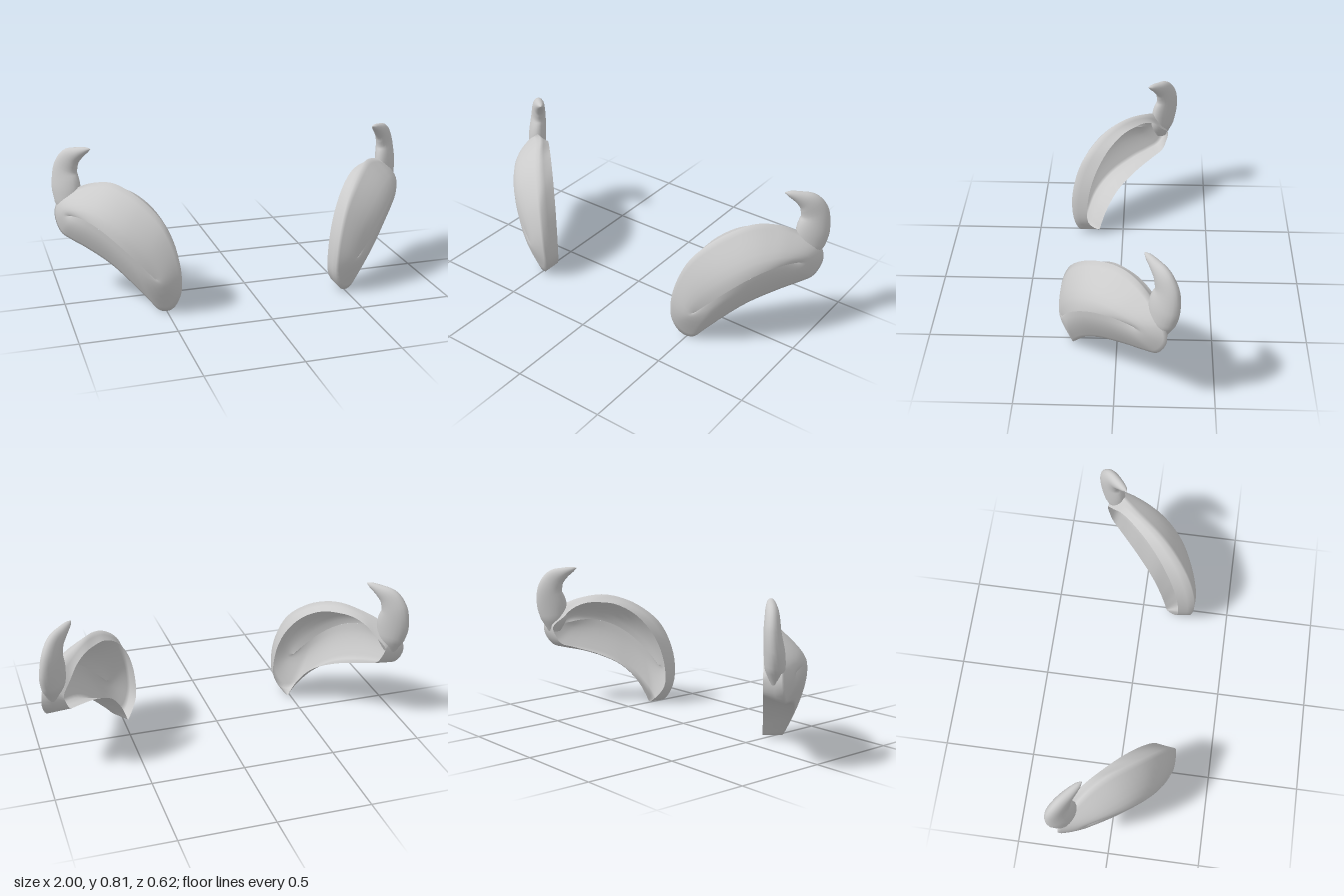
import * as THREE from 'three';

const V = (u, y, n) => new THREE.Vector3(u, y, n);

// Each plate is designed in a frame turned 45 degrees:
// u runs along the plate, y is up, n points outwards from the open back.
const RIM_N = 0.44;

// Around the plate from the lower tip: rim u, rim y, ridge u, ridge y, ridge n
const OUTLINE = [
  [0.235, 0.01, 0.156, 0.010, 0.516],
  [0.150, 0.10, 0.103, 0.100, 0.509],
  [0.150, 0.25, 0.092, 0.225, 0.516],
  [0.206, 0.405, 0.122, 0.360, 0.520],
  [0.312, 0.53, 0.190, 0.485, 0.520],
  [0.430, 0.593, 0.315, 0.583, 0.516],
  [0.520, 0.605, 0.430, 0.630, 0.505],
  [0.609, 0.60, 0.527, 0.645, 0.492],
  [0.690, 0.566, 0.630, 0.630, 0.488],
  [0.750, 0.51, 0.720, 0.600, 0.495],
  [0.810, 0.453, 0.850, 0.520, 0.520],
  [0.795, 0.40, 0.885, 0.430, 0.527],
  [0.764, 0.355, 0.838, 0.335, 0.541],
  [0.690, 0.335, 0.760, 0.310, 0.555],
  [0.525, 0.29, 0.655, 0.290, 0.573],
  [0.386, 0.22, 0.480, 0.235, 0.594],
  [0.300, 0.125, 0.354, 0.155, 0.594],
  [0.258, 0.05, 0.265, 0.065, 0.569],
  [0.240, 0.012, 0.208, 0.002, 0.541],
];

// Horn sections: centre u, y, n, half width, half thickness
const HORN = [
  [0.815, 0.42, 0.500, 0.035, 0.025],
  [0.815, 0.50, 0.495, 0.080, 0.050],
  [0.825, 0.58, 0.490, 0.090, 0.050],
  [0.832, 0.67, 0.480, 0.075, 0.042],
  [0.800, 0.735, 0.478, 0.060, 0.036],
  [0.745, 0.772, 0.474, 0.034, 0.028],
  [0.692, 0.795, 0.471, 0.015, 0.016],
  [0.668, 0.803, 0.470, 0.002, 0.002],
];

// Skin closed loops of equal length; side = -1 mirrors the part
function skin(loops, side) {
  const count = loops[0].length;
  const pos = [];
  const index = [];
  const h = Math.SQRT1_2;
  for (const loop of loops) {
    for (const p of loop) pos.push(side * (p.x + p.z) * h, p.y, (p.z - p.x) * h);
  }
  const tri = (a, b, c) => (side > 0 ? index.push(a, b, c) : index.push(a, c, b));
  for (let j = 0; j < loops.length - 1; j++) {
    for (let k = 0; k < count; k++) {
      const a = j * count + k;
      const b = j * count + ((k + 1) % count);
      tri(a, a + count, b);
      tri(b, a + count, b + count);
    }
  }
  const geo = new THREE.BufferGeometry();
  geo.setAttribute('position', new THREE.Float32BufferAttribute(pos, 3));
  geo.setIndex(index);
  geo.computeVertexNormals();
  return geo;
}

// Crest line running along the middle of the dome
function crest(u) {
  const d = u - 0.43;
  return V(u, 0.41 + 0.589 * d - 1.41 * d * d, 0.66 - (d < 0 ? 1.18 : 0.72) * d * d);
}

// Hollow plate: rim, side wall, then a dome closing on the crest
function plateLoops() {
  const sample = (points) => {
    const curve = new THREE.CatmullRomCurve3(points, true);
    return Array.from({ length: 76 }, (_, i) => curve.getPoint(i / 76));
  };
  const rim = sample(OUTLINE.map((r) => V(r[0], r[1], RIM_N)));
  const ridge = sample(OUTLINE.map((r) => V(r[2], r[3], r[4])));
  const loops = [rim, rim.map((p, i) => p.clone().lerp(ridge[i], 0.6)), ridge];
  for (const t of [0.1, 0.22, 0.36, 0.52, 0.68, 0.84, 1]) {
    loops.push(ridge.map((p) => {
      const top = crest(0.2 + ((p.x - 0.09) / 0.8) * 0.53);
      const q = p.clone().lerp(top, t);
      q.z = p.z + (top.z - p.z) * Math.sin((t * Math.PI) / 2);
      return q;
    }));
  }
  return loops;
}

// Curved horn: flattened oval sections swept along a bent path
function hornLoops() {
  const path = new THREE.CatmullRomCurve3(HORN.map((r) => V(r[0], r[1], r[2])));
  const size = new THREE.CatmullRomCurve3(HORN.map((r) => V(r[3], r[4], 0)));
  const loops = [];
  for (let i = 0; i <= 28; i++) {
    const c = path.getPoint(i / 28);
    const t = path.getTangent(i / 28);
    const s = size.getPoint(i / 28);
    const across = V(t.y, -t.x, 0).normalize();
    loops.push(Array.from({ length: 20 }, (_, k) => {
      const a = (k / 20) * Math.PI * 2;
      const p = c.clone().addScaledVector(across, s.x * Math.cos(a));
      p.z += s.y * Math.sin(a);
      return p;
    }));
  }
  return loops;
}

export function createModel() {
  const model = new THREE.Group();
  model.name = 'hornedShoulderPlates';
  const material = new THREE.MeshStandardMaterial({ color: 0xcccccc, side: THREE.DoubleSide });
  const parts = { Plate: plateLoops(), Horn: hornLoops() };
  for (const [label, side] of [['left', 1], ['right', -1]]) {
    const group = new THREE.Group();
    group.name = label + 'ShoulderPiece';
    for (const [part, loops] of Object.entries(parts)) {
      const mesh = new THREE.Mesh(skin(loops, side), material);
      mesh.name = label + part;
      group.add(mesh);
    }
    model.add(group);
  }
  return model;
}
